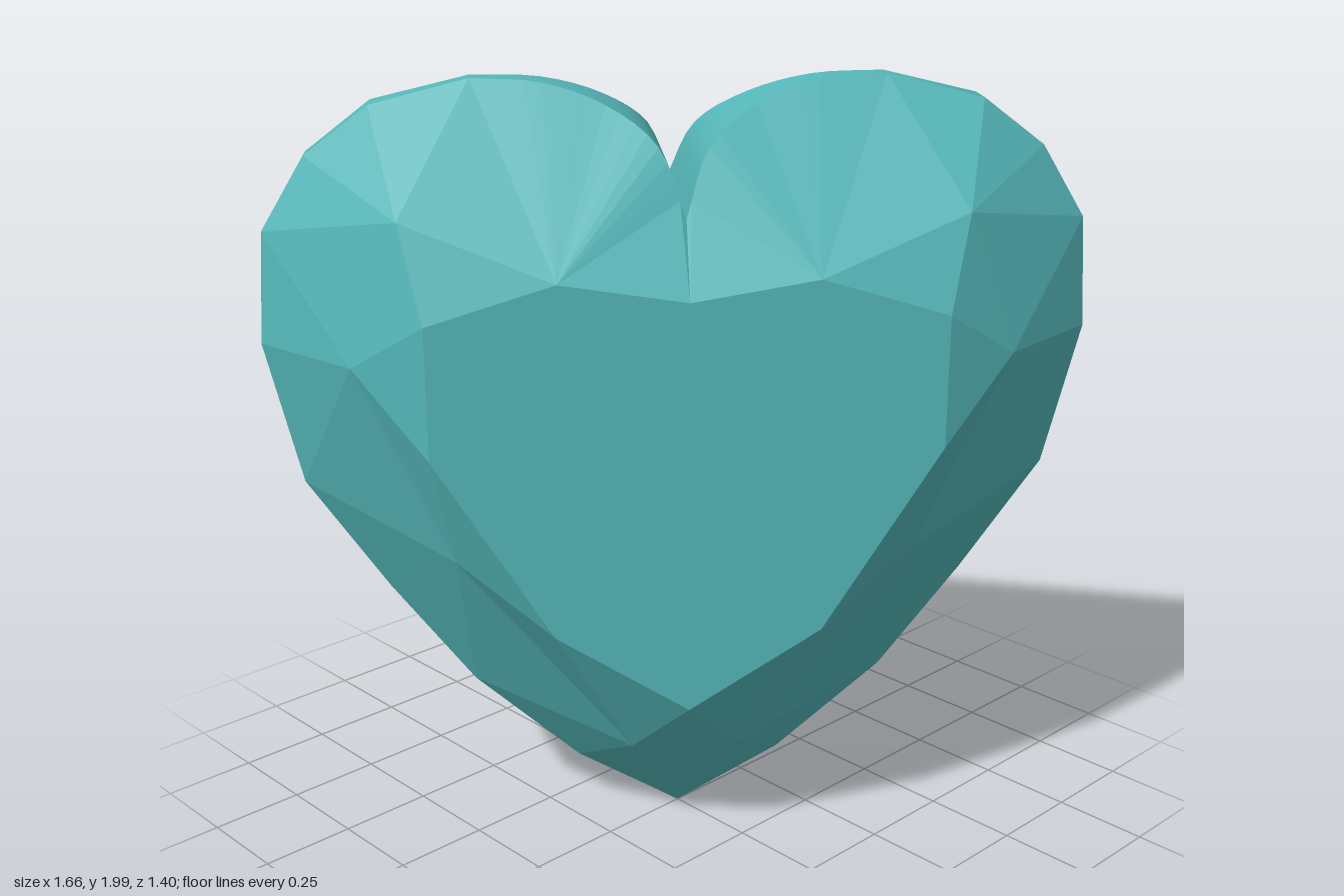
import * as THREE from 'three';
import { toCreasedNormals } from 'three/addons/utils/BufferGeometryUtils.js';

// Half outline of the heart from notch to tip: x, y, front z, back z
const LOBE = [
  [0, 1.68, 0.24, -0.32], [0.06, 1.84, 0.18, -0.19], [0.18, 1.93, 0.115, -0.09],
  [0.33, 1.98, 0.08, -0.025], [0.5, 1.99, 0.06, 0],
];
const SIDE = [
  [0.74, 1.93, 0.065, -0.03], [0.9, 1.81, 0.045, -0.015], [1.01, 1.63, 0.05, -0.045],
  [1.03, 1.35, 0.05, -0.04], [0.95, 0.98, 0.03, -0.06], [0.75, 0.68, 0.02, -0.06],
  [0.54, 0.41, 0.03, -0.06], [0.27, 0.16, 0.01, -0.08], [0, 0, 0, -0.1],
];
const LOBE_STEPS = 16;

// Girdle edge (k = 2 front, k = 3 back), with the lobe smoothed
function edge(k) {
  const toV = (p) => new THREE.Vector3(p[0], p[1], p[k]);
  const lobe = new THREE.CatmullRomCurve3(LOBE.map(toV)).getPoints(LOBE_STEPS);
  return [...lobe, ...SIDE.map(toV)];
}

// Collects triangles of the +x half and their mirror images
function mirroredGeometry(triangles) {
  const pos = [];
  for (const [a, b, c] of triangles) {
    for (const p of [a, b, c]) pos.push(p.x, p.y, p.z);
    for (const p of [a, c, b]) pos.push(-p.x, p.y, p.z);
  }
  const g = new THREE.BufferGeometry();
  g.setAttribute('position', new THREE.Float32BufferAttribute(pos, 3));
  g.computeVertexNormals();
  return g;
}

export function createModel() {
  const color = 0x55b8ba;
  const smooth = new THREE.MeshStandardMaterial({ color });
  const faceted = new THREE.MeshStandardMaterial({ color, flatShading: true });
  const gem = new THREE.Group();
  gem.name = 'heartGem';
  const add = (name, geometry, material) => {
    const mesh = new THREE.Mesh(geometry, material);
    mesh.name = name;
    gem.add(mesh);
  };

  const front = edge(2);
  const back = edge(3);
  const v = (x, y, z) => new THREE.Vector3(x, y, z);

  // Flat table on the front
  const T = [[0, 1.505], [0.31, 1.555], [0.62, 1.46], [0.62, 1.13], [0.33, 0.66], [0, 0.45]]
    .map(([x, y]) => v(x, y, 0.34));
  const table = [];
  for (let i = 1; i < T.length - 1; i++) table.push([T[0], T[i + 1], T[i]]);
  add('table', mirroredGeometry(table), faceted);

  // Crown facets between table and girdle, listed clockwise and then flipped
  const M = [v(0.675, 1.69, 0.26), v(0.8, 1.34, 0.25), v(0.57, 0.83, 0.24), v(0.135, 0.28, 0.2)];
  const S = front.slice(LOBE_STEPS); // from lobe top down to the tip
  const crown = [[T[0], front[0], front[1]], [T[0], front[1], T[1]]];
  for (let i = 1; i < LOBE_STEPS; i++) crown.push([T[1], front[i], front[i + 1]]);
  crown.push([T[1], S[0], M[0]]);
  // each middle corner fans out to a run of girdle points
  const runs = [[0, 3], [3, 5], [5, 7], [7, 9]];
  runs.forEach(([from, to], m) => {
    for (let i = from; i < to; i++) crown.push([M[m], S[i], S[i + 1]]);
    if (m < 3) crown.push([M[m], S[to], M[m + 1]]);
  });
  // star facets around the table
  for (let m = 0; m < 4; m++) {
    crown.push([T[m + 1], M[m], T[m + 2]]);
    if (m < 3) crown.push([T[m + 2], M[m], M[m + 1]]);
  }
  crown.push([T[5], M[3], S[9]]);
  add('crown', mirroredGeometry(crown.map(([a, b, c]) => [a, c, b])), faceted);

  // Girdle band and the pavilion running to the back point
  const apex = v(0, 1.13, -0.9);
  const girdle = [];
  const pavilion = [];
  for (let i = 0; i < front.length - 1; i++) {
    girdle.push([front[i], front[i + 1], back[i + 1]], [front[i], back[i + 1], back[i]]);
    pavilion.push([apex, back[i], back[i + 1]]);
  }
  add('girdle', toCreasedNormals(mirroredGeometry(girdle), 0.6), smooth);
  add('pavilion', toCreasedNormals(mirroredGeometry(pavilion), 0.7), smooth);

  // The gem stands turned about its upright axis
  gem.rotation.y = -0.68;
  const model = new THREE.Group();
  model.name = 'gem';
  model.add(gem);
  return model;
}
